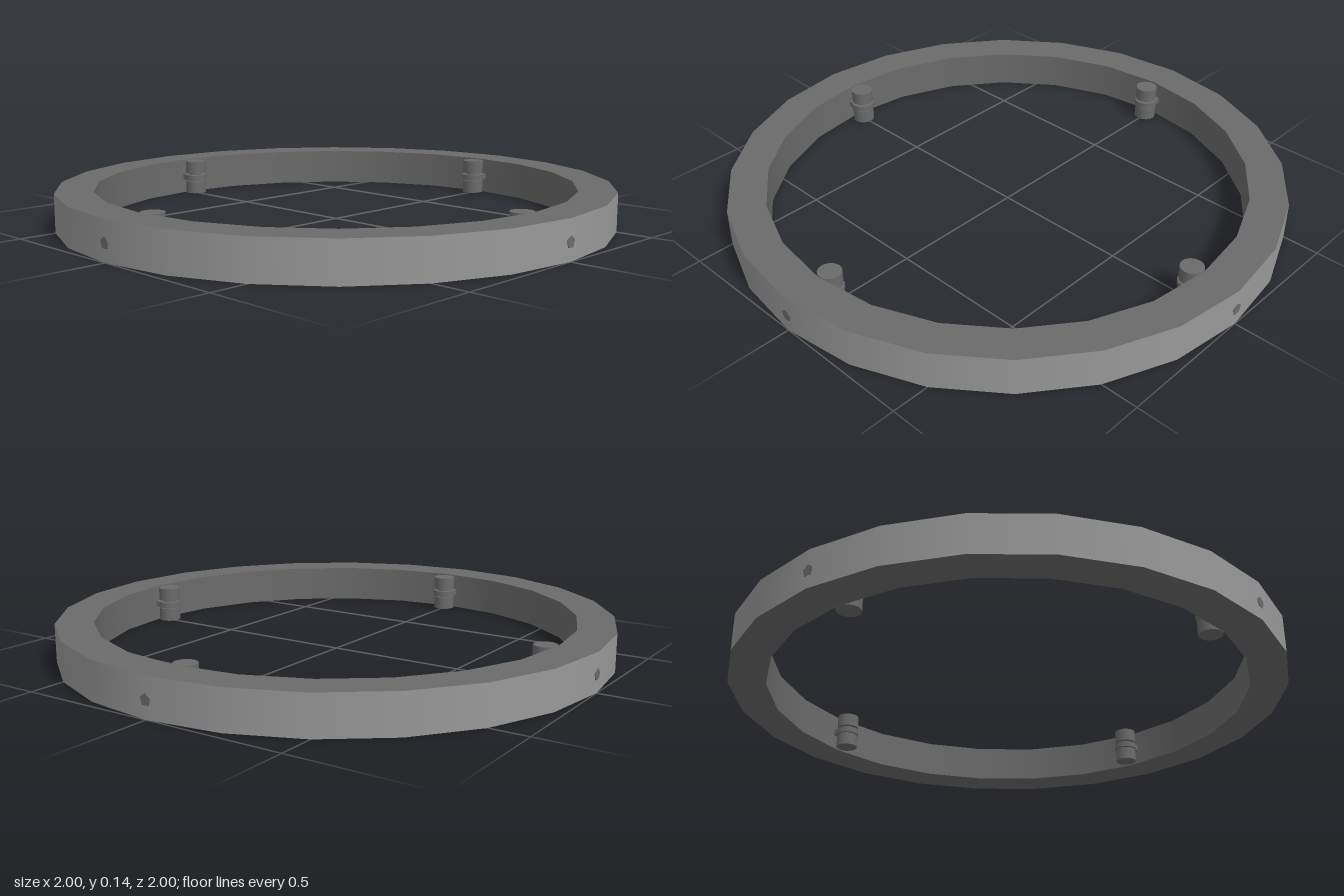
import * as THREE from 'three';

const SIDES = 24;
const OUTER = 1, INNER = 0.866, HEIGHT = 0.137;
const POST_AT = 0.82, POST_R = 0.041, MID = 0.066;

export function createModel() {
  const light = new THREE.MeshStandardMaterial({ color: 0x999999 });
  light.name = 'light grey';
  const dark = new THREE.MeshStandardMaterial({ color: 0x6b6b6b });
  dark.name = 'dark grey';

  const model = new THREE.Group();
  model.name = 'ringFrame';

  function add(parent, name, geometry, material, x = 0, y = 0, z = 0) {
    const mesh = new THREE.Mesh(geometry, material);
    mesh.name = name;
    mesh.position.set(x, y, z);
    parent.add(mesh);
    return mesh;
  }

  // one swept band per face of the ring, so the rims stay sharp
  function band(name, r1, y1, r2, y2, material) {
    const profile = [new THREE.Vector2(r1, y1), new THREE.Vector2(r2, y2)];
    add(model, name, new THREE.LatheGeometry(profile, SIDES), material);
  }
  band('outerWall', OUTER, 0, OUTER, HEIGHT, light);
  band('topFace', OUTER, HEIGHT, INNER, HEIGHT, dark);
  band('innerWall', INNER, HEIGHT, INNER, 0, dark);
  band('bottomFace', INNER, 0, OUTER, 0, dark);

  // four spool posts held to the inner wall, each with a pin through the ring
  const half = 0.049;
  const drum = new THREE.CylinderGeometry(POST_R, POST_R, half, 16);
  const neck = new THREE.CylinderGeometry(0.027, 0.027, 0.06, 12);
  const collar = new THREE.CylinderGeometry(0.044, 0.044, 0.022, 12);
  const arm = new THREE.BoxGeometry(0.07, 0.022, 0.06);
  const pin = new THREE.CylinderGeometry(0.021, 0.021, OUTER - POST_AT, 5);
  pin.rotateX(Math.PI / 2);
  pin.rotateZ(Math.PI);

  for (let i = 0; i < 4; i++) {
    const mount = new THREE.Group();
    mount.name = 'postMount' + (i + 1);
    mount.rotation.y = (i * Math.PI) / 2;
    add(mount, 'lowerDrum', drum, dark, 0, 0.003 + half / 2, POST_AT);
    add(mount, 'upperDrum', drum, dark, 0, HEIGHT - 0.003 - half / 2, POST_AT);
    add(mount, 'neck', neck, dark, 0, HEIGHT / 2, POST_AT);
    add(mount, 'collar', collar, dark, 0, MID, POST_AT);
    add(mount, 'arm', arm, dark, 0, MID, POST_AT + 0.03);
    add(mount, 'pin', pin, dark, 0, 0.062, (OUTER + POST_AT) / 2 + 0.001);
    model.add(mount);
  }
  return model;
}
